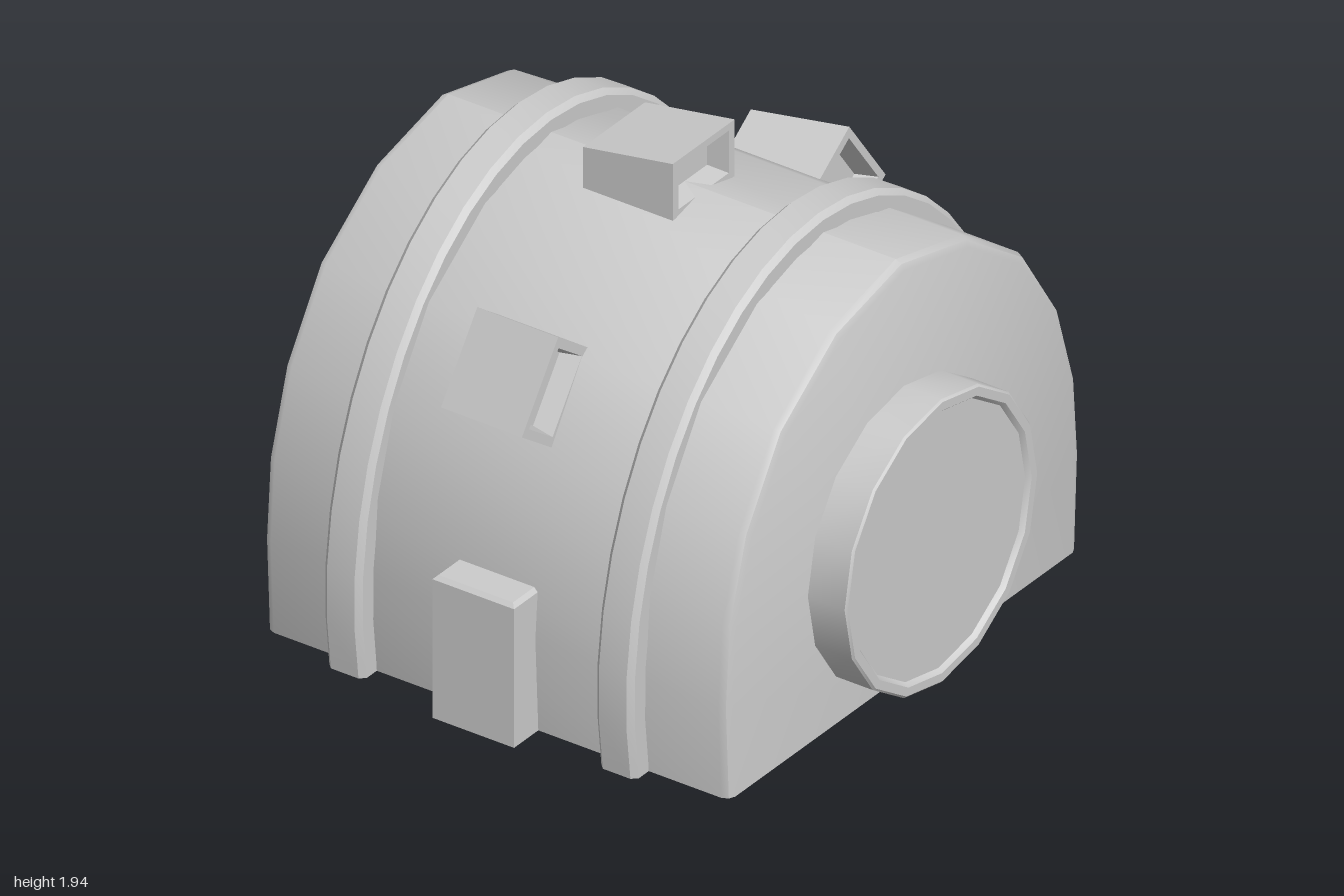
import * as THREE from 'three';
import { toCreasedNormals } from 'three/addons/utils/BufferGeometryUtils.js';

const material = new THREE.MeshStandardMaterial({ color: 0xcccccc, side: THREE.DoubleSide });
const V = (x, y, z) => new THREE.Vector3(x, y, z);
const FLOOR = 0.36;

function part(name, geometry, parent, crease = 0.6) {
  const mesh = new THREE.Mesh(toCreasedNormals(geometry, crease), material);
  mesh.name = name;
  parent.add(mesh);
  return mesh;
}

// Skin a list of equal-length rings; a ring collapsed to one point forms a cap
function loft(rings, closed) {
  const pos = [];
  const tri = (a, b, c) => {
    if (a.equals(b) || b.equals(c) || a.equals(c)) return;
    for (const p of [a, b, c]) pos.push(p.x, p.y, p.z);
  };
  const n = rings[0].length;
  for (let i = 0; i < rings.length - 1; i++) {
    for (let j = 0; j < (closed ? n : n - 1); j++) {
      const k = (j + 1) % n;
      tri(rings[i][j], rings[i][k], rings[i + 1][k]);
      tri(rings[i][j], rings[i + 1][k], rings[i + 1][j]);
    }
  }
  const g = new THREE.BufferGeometry();
  g.setAttribute('position', new THREE.Float32BufferAttribute(pos, 3));
  return g;
}
const collapse = (n, p) => Array.from({ length: n }, () => p);

// Faceted arch of the main shell, from +x foot over the top to -x foot
const HALF = [[0.885, FLOOR], [0.9, 0.68], [0.88, 0.95], [0.795, 1.23], [0.62, 1.5], [0.335, 1.7]];
const ARCH = [...HALF, [0, 1.78], ...HALF.map(([x, y]) => [-x, y]).reverse()];
function shellRing(inset, z) {
  return ARCH.map(([x, y]) => V(x * (1 - inset / 0.9),
    y > 0.68 ? 0.68 + (y - 0.68) * (1 - inset / 1.1) : y, z));
}

// Smoother elliptical arch of the bands
function bandRing(inset, z) {
  const start = -Math.asin((0.62 - FLOOR) / 1.22), n = 24;
  return Array.from({ length: n + 1 }, (_, i) => {
    const a = start + (Math.PI - 2 * start) * i / n;
    const y = 0.62 + (1.22 - inset) * Math.sin(a);
    return V((0.975 - inset) * Math.cos(a), i === 0 || i === n ? FLOOR : y, z);
  });
}

// Vent hood: sloping wedge with a recessed opening at the front
function hoodGeometry() {
  const ring = (w, low, high, z) => [V(w, low, z), V(w, high, z), V(-w, high, z), V(-w, low, z)];
  return loft([
    collapse(4, V(0, -0.125, -0.325)),
    ring(0.157, -0.195, -0.055, -0.325),
    ring(0.157, -0.195, 0, 0),
    ring(0.127, -0.17, -0.024, 0),
    ring(0.115, -0.16, -0.045, -0.07),
    collapse(4, V(0, -0.1, -0.07)),
  ], true);
}

// Side block: open underneath, softened top edge
function sideBlockGeometry() {
  const ring = (inset, y) => {
    const w = 0.085 - inset, d = 0.148 - inset;
    return [V(w, y, d), V(w, y, -d), V(-w, y, -d), V(-w, y, d)];
  };
  return loft([ring(0, FLOOR), ring(0, 0.837), ring(0.013, 0.85), collapse(4, V(0, 0.85, 0))], true);
}

export function createModel() {
  const model = new THREE.Group();
  model.name = 'domedHousing';
  const upper = new THREE.Group();
  upper.name = 'upperHousing';
  upper.position.x = 0.008;
  model.add(upper);

  // Main shell, open underneath, with bevelled end walls
  const foot = z => collapse(ARCH.length, V(0, FLOOR, z));
  part('shell', loft([
    foot(-0.84), shellRing(0.03, -0.84), shellRing(0.01, -0.831), shellRing(0, -0.81),
    shellRing(0, 0.81), shellRing(0.01, 0.831), shellRing(0.03, 0.84), foot(0.84),
  ], false), upper);

  // Raised bands
  for (const [name, z] of [['frontBand', 0.48], ['backBand', -0.505]]) {
    part(name, loft([[0.07, -0.068], [0.018, -0.068], [0, -0.05], [0, 0.05], [0.018, 0.068], [0.07, 0.068]]
      .map(([inset, dz]) => bandRing(inset, z + dz)), false), upper);
  }

  // Round end caps with a shallow dished face
  const capProfile = [[0, 0.8], [0.487, 0.8], [0.487, 0.973], [0.48, 0.98], [0.452, 0.98], [0.44, 0.965], [0, 0.965]]
    .map(([r, h]) => new THREE.Vector2(r, h));
  for (const [name, s] of [['frontCap', 1], ['backCap', -1]]) {
    const cap = part(name, new THREE.LatheGeometry(capProfile, 16), upper);
    cap.rotation.x = s * Math.PI / 2;
    cap.position.y = 0.867;
  }

  // Vent hoods at the crown and both shoulders
  const hoods = [['topHood', 0, 1.94, 0], ['leftHood', 0.83, 1.502, -0.945], ['rightHood', -0.83, 1.502, 0.945]];
  for (const [name, x, y, turn] of hoods) {
    const hood = part(name, hoodGeometry(), upper, 0.2);
    hood.position.set(x, y, 0.115);
    hood.rotation.z = turn;
  }

  // Side blocks
  for (const [name, s] of [['leftBlock', 1], ['rightBlock', -1]]) {
    part(name, sideBlockGeometry(), model, 0.3).position.x = s * 0.915;
  }

  // Square pedestal reaching up inside the shell
  part('pedestal', new THREE.BoxGeometry(0.715, 0.67, 0.71), model).position.set(-0.005, 0.335, 0.005);

  return model;
}
